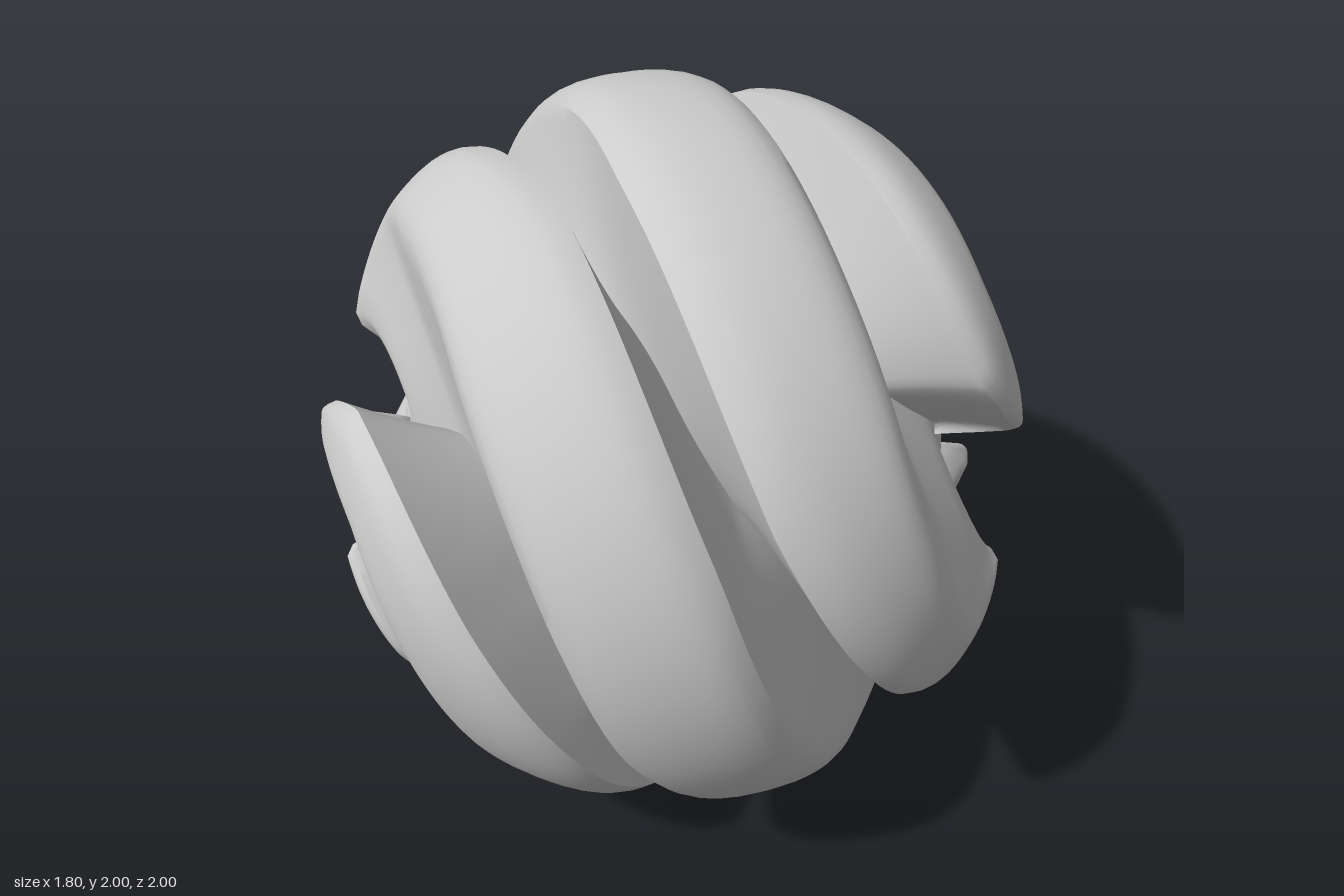
import * as THREE from 'three';
import { toCreasedNormals } from 'three/addons/utils/BufferGeometryUtils.js';

const { smoothstep } = THREE.MathUtils;
const RAD = Math.PI / 180;
const ARMS = 4, ROWS = 120;
const WALL = 10, TOP = 12;       // samples across one ridge
const FLOOR = 0.66;              // radius of the groove floor

// Piecewise linear lookup in [q, value] pairs
function lookup(table, q) {
  for (let i = 1; i < table.length; i++) {
    const [a, va] = table[i - 1], [b, vb] = table[i];
    if (q <= b) return va + (vb - va) * (q - a) / (b - a);
  }
  return table[table.length - 1][1];
}

// Degrees against q = cosine of the angle from the pole
const TWIST = [[0, 0], [0.23, -27], [0.49, -54], [0.68, -78], [0.78, -90], [0.9, -96], [1, -100]];
const SHARP_EDGE = [[0, -34], [0.12, -37], [0.25, -40], [0.5, -42.5], [1, -43.5]];
const SOFT_EDGE = [[0, 34], [0.12, 31], [0.25, 24], [0.45, 12], [0.55, 5], [0.69, -2], [0.91, -23], [0.94, -31], [1, -40]];

// Edges of a ridge; the far half is the near half turned end over end
const lowerEdge = (s) => (s >= 0 ? lookup(SHARP_EDGE, s) : -lookup(SOFT_EDGE, -s));
const upperEdge = (s) => -lowerEdge(-s);

// Cross-section of one ridge: [angle in the 90 degree cell, height 0..1]
function ridgeSection(s) {
  const lo = lowerEdge(s), hi = upperEdge(s);
  const wall = (t) => 0.9 * t * (0.65 + 0.35 * t);
  const points = [];
  for (let i = 0; i < WALL; i++) {
    const t = i / WALL;
    points.push([-45 + (lo + 45) * t, wall(t)]);
  }
  for (let i = 0; i < TOP; i++) {
    const t = i / TOP;
    points.push([lo + (hi - lo) * t, 1 - 0.1 * Math.pow(Math.abs(2 * t - 1), 4)]);
  }
  for (let i = 0; i < WALL; i++) {
    const t = i / WALL;
    points.push([hi + (45 - hi) * t, wall(1 - t)]);
  }
  return points;
}

function createSpiralBall() {
  const positions = [], index = [];
  const cols = (2 * WALL + TOP) * ARMS;
  for (let i = 0; i <= ROWS; i++) {
    const theta = Math.PI * i / ROWS;
    const cos = Math.cos(theta), q = Math.abs(cos), side = Math.sign(cos);
    const section = ridgeSection(cos);
    const twist = side * lookup(TWIST, q);
    // Ridges die out into a small hub at each pole
    const rise = smoothstep(Math.acos(Math.min(1, q)) / RAD, 15, 20.5);
    const crest = 1 - 0.06 * q ** 8;
    const floor = FLOOR + 0.09 * q ** 8;
    // Floor slides under the sharp edge so the blade overhangs
    const lean = side * (7 * smoothstep(q, 0, 0.4) + 6 * q ** 6);
    for (let arm = 0; arm < ARMS; arm++) {
      for (const [c, h] of section) {
        const r = floor + (crest - floor) * h * rise;
        const phi = (arm * 90 + c + twist + lean * (1 - h)) * RAD;
        const ring = r * Math.sin(theta);
        positions.push(r * cos, 1 + ring * Math.sin(phi), ring * Math.cos(phi));
      }
    }
  }
  for (let i = 0; i < ROWS; i++) {
    for (let j = 0; j < cols; j++) {
      const a = i * cols + j, b = i * cols + (j + 1) % cols;
      const c = a + cols, d = b + cols;
      if (i > 0) index.push(a, b, c);
      if (i < ROWS - 1) index.push(b, d, c);
    }
  }
  const geometry = new THREE.BufferGeometry();
  geometry.setAttribute('position', new THREE.Float32BufferAttribute(positions, 3));
  geometry.setIndex(index);
  return toCreasedNormals(geometry, 40 * RAD);
}

export function createModel() {
  const group = new THREE.Group();
  group.name = 'spiralBall';
  const material = new THREE.MeshStandardMaterial({ color: 0xcccccc });
  const ball = new THREE.Mesh(createSpiralBall(), material);
  ball.name = 'spiralRidges';
  group.add(ball);
  return group;
}
